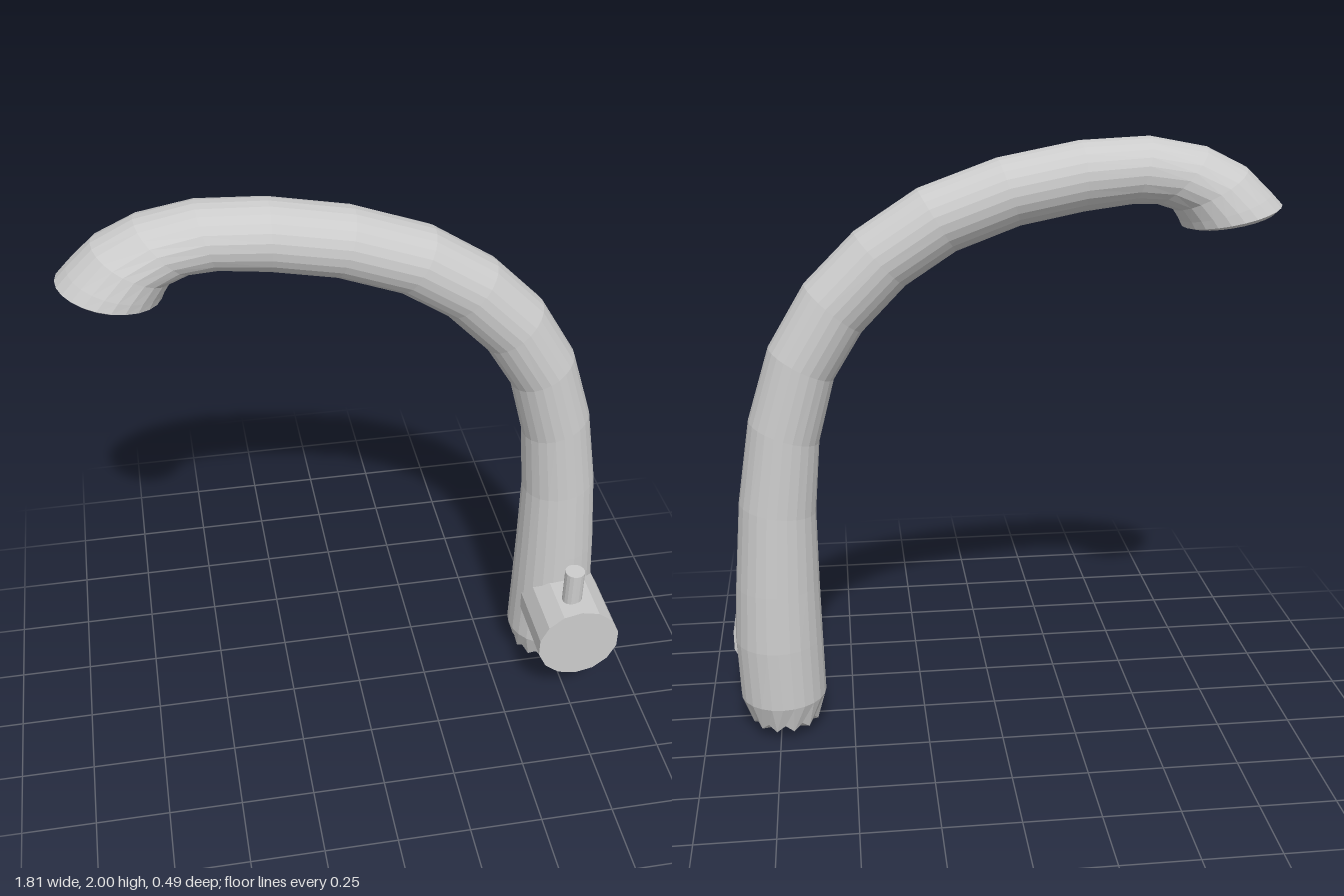
import * as THREE from 'three';

const SIDES = 24;
const SPOUT_Z = -0.077;

// Spout cross-sections: outer x, outer y, inner x, inner y, half depth
const SECTIONS = [
  [0.845, 0.055, 0.62, 0.055, 0.118],
  [0.88, 0.14, 0.592, 0.14, 0.143],
  [0.887, 0.35, 0.596, 0.35, 0.147],
  [0.875, 0.55, 0.599, 0.55, 0.139],
  [0.85, 0.84, 0.6, 0.8, 0.127],
  [0.805, 1.12, 0.58, 1.04, 0.121],
  [0.73, 1.36, 0.525, 1.25, 0.12],
  [0.61, 1.56, 0.43, 1.405, 0.12],
  [0.45, 1.72, 0.29, 1.55, 0.12],
  [0.25, 1.85, 0.13, 1.655, 0.12],
  [0, 1.94, -0.07, 1.73, 0.12],
  [-0.26, 1.99, -0.27, 1.77, 0.12],
  [-0.48, 2.0, -0.42, 1.79, 0.122],
  [-0.66, 1.965, -0.5, 1.79, 0.13],
  [-0.79, 1.9, -0.56, 1.77, 0.146],
  [-0.87, 1.825, -0.583, 1.735, 0.16],
  [-0.908, 1.785, -0.592, 1.715, 0.165],
  [-0.89, 1.766, -0.615, 1.71, 0.146],
];

// Skin the elliptical sections, closing both ends with fans
function createSpoutGeometry() {
  const positions = [];
  const index = [];
  SECTIONS.forEach(([ox, oy, ix, iy, depth], k) => {
    for (let i = 0; i < SIDES; i++) {
      const a = (i / SIDES) * Math.PI * 2;
      const t = (1 + Math.cos(a)) / 2;
      const zigzag = k === 0 ? (i % 2 ? -0.012 : 0.012) : 0;
      positions.push(ix + (ox - ix) * t, iy + (oy - iy) * t + zigzag, SPOUT_Z + depth * Math.sin(a));
    }
  });
  const last = (SECTIONS.length - 1) * SIDES;
  const foot = SECTIONS.length * SIDES;
  const outlet = foot + 1;
  positions.push(0.733, 0.005, SPOUT_Z, -0.7525, 1.738, SPOUT_Z);

  for (let i = 0; i < SIDES; i++) {
    const j = (i + 1) % SIDES;
    for (let row = 0; row < last; row += SIDES) {
      const a = row + i, b = row + j, c = a + SIDES, d = b + SIDES;
      index.push(a, c, b, b, c, d);
    }
    index.push(foot, i, j, outlet, last + j, last + i);
  }
  const geometry = new THREE.BufferGeometry();
  geometry.setAttribute('position', new THREE.Float32BufferAttribute(positions, 3));
  geometry.setIndex(index);
  const flat = geometry.toNonIndexed();
  flat.computeVertexNormals();
  return flat;
}

export function createModel() {
  const group = new THREE.Group();
  const material = new THREE.MeshStandardMaterial({ color: 0xcccccc, flatShading: true });
  const add = (name, geometry, x = 0, y = 0, z = 0) => {
    const mesh = new THREE.Mesh(geometry, material);
    mesh.name = name;
    mesh.position.set(x, y, z);
    group.add(mesh);
    return mesh;
  };

  // Curved body flaring into the outlet
  add('spout', createSpoutGeometry());

  // Valve barrel on the front of the base
  const barrel = add('valveBarrel', new THREE.CylinderGeometry(0.148, 0.148, 0.265, 14), 0.755, 0.31, 0.1125);
  barrel.rotation.x = Math.PI / 2;

  // Small upright lever pin
  add('leverPin', new THREE.CylinderGeometry(0.035, 0.035, 0.16, 16), 0.743, 0.5, 0.157);

  return group;
}
